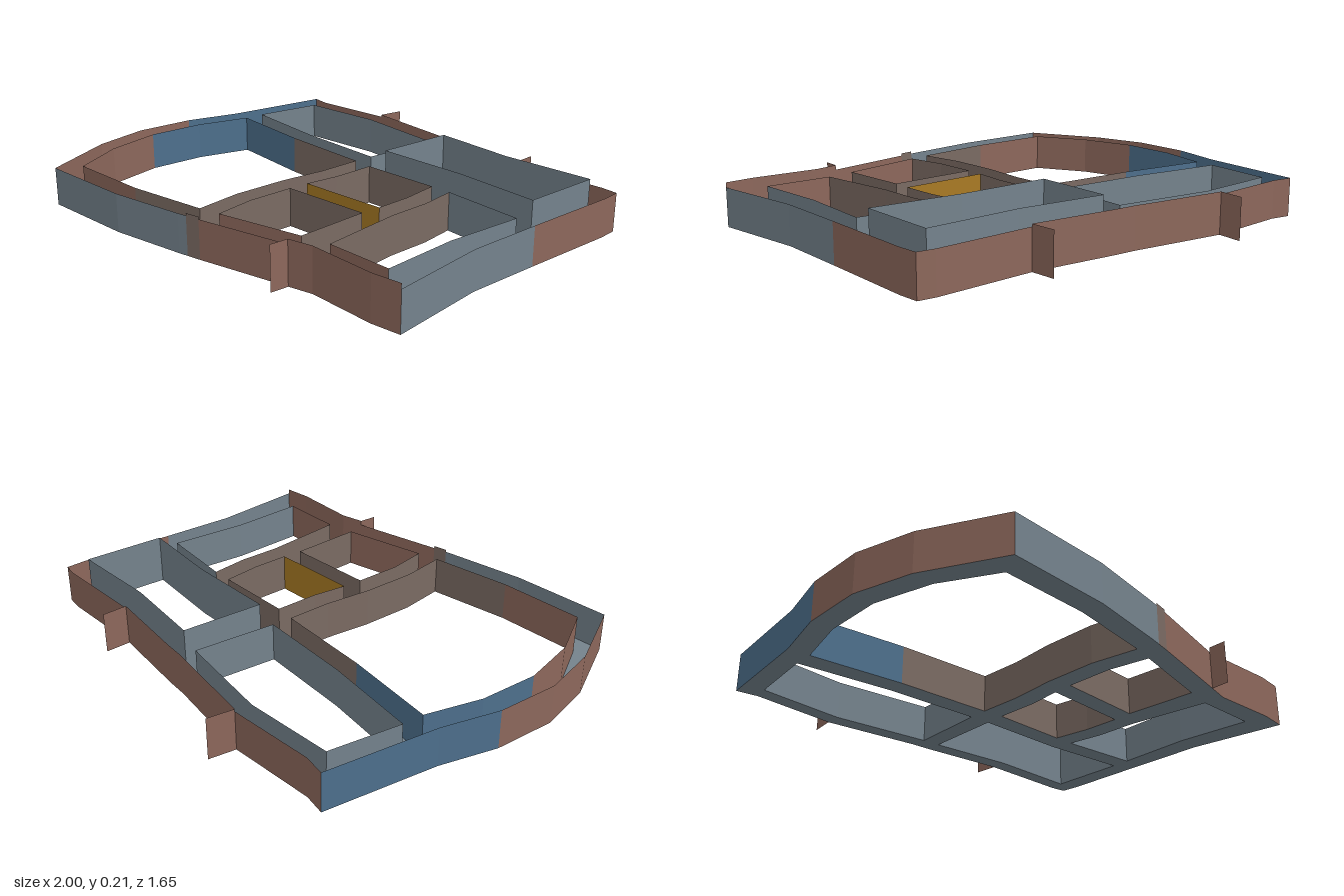
import * as THREE from 'three';

const makeMaterial = (name, color) => {
  const m = new THREE.MeshStandardMaterial({ color, side: THREE.DoubleSide });
  m.name = name;
  return m;
};

// Upright sheet following a ground path of [x, z] points
function wall(name, points, material, height = 0.16) {
  const v = [];
  for (let i = 0; i + 1 < points.length; i++) {
    const [ax, az] = points[i];
    const [bx, bz] = points[i + 1];
    v.push(ax, 0, az, bx, 0, bz, bx, height, bz);
    v.push(ax, 0, az, bx, height, bz, ax, height, az);
  }
  const g = new THREE.BufferGeometry();
  g.setAttribute('position', new THREE.Float32BufferAttribute(v, 3));
  g.computeVertexNormals();
  const mesh = new THREE.Mesh(g, material);
  mesh.name = name;
  return mesh;
}

export function createModel() {
  const model = new THREE.Group();
  model.name = 'streetBlocks';
  const slate = makeMaterial('slate', 0x74828c);
  const brown = makeMaterial('brickBrown', 0x8c675b);
  const blue = makeMaterial('steelBlue', 0x4d6f8c);
  const taupe = makeMaterial('taupe', 0x7a6a62);
  const ochre = makeMaterial('ochre', 0xa87a24);

  // Outer facades, in order around the edge: [name, path, material, height]
  const outer = [
    ['backWallRight', [[-0.91, -0.685], [-0.82, -0.675], [-0.46, -0.72]], brown],
    ['backWallMiddle', [[-0.46, -0.72], [-0.04, -0.69], [0.05, -0.69], [0.42, -0.675]], brown, 0.17],
    ['backWallLeft', [[0.42, -0.675], [0.83, -0.71], [0.9, -0.705]], brown],
    ['leftWallBack', [[0.9, -0.705], [0.91, -0.62], [0.92, -0.2]], brown],
    ['leftWallFront', [[0.92, -0.2], [0.93, 0.12], [1, 0.53]], slate],
    ['frontWallLeft', [[1, 0.53], [0.88, 0.55], [0.59, 0.555], [0.49, 0.583]], brown, 0.18],
    ['frontWallMiddle', [[0.49, 0.583], [0.1, 0.69]], brown],
    ['frontWallJoint', [[0.1, 0.69], [0.04, 0.705]], taupe, 0.17],
    ['frontWallRight', [[0.04, 0.705], [0, 0.715], [-0.33, 0.785], [-0.76, 0.825]], slate],
    ['rightWallFront', [[-0.76, 0.825], [-0.93, 0.52], [-1, 0.28], [-1, 0.02]], brown],
    ['rightWallBack', [[-1, 0.02], [-0.95, -0.22], [-0.91, -0.685]], blue],
  ];

  // Facades around each open block, each list forming a closed ring
  const blocks = {
    backRightBlock: [
      ['backWall', [[-0.83, -0.605], [-0.46, -0.65], [-0.03, -0.62]], slate],
      ['leftWall', [[-0.03, -0.62], [-0.04, -0.275]], slate],
      ['frontWall', [[-0.04, -0.275], [-0.45, -0.275], [-0.86, -0.305]], slate],
      ['rightWall', [[-0.86, -0.305], [-0.83, -0.605]], slate],
    ],
    backLeftBlock: [
      ['tallWalls', [[0.05, -0.62], [0.42, -0.605], [0.82, -0.64], [0.83, -0.29],
        [0.45, -0.3], [0.05, -0.275], [0.05, -0.62]], slate, 0.21],
    ],
    frontRightBlock: [
      ['backWallRight', [[-0.86, -0.215], [-0.46, -0.19]], blue],
      ['backWallLeft', [[-0.46, -0.19], [-0.04, -0.19]], taupe],
      ['leftWall', [[-0.04, -0.19], [-0.03, 0.0], [-0.04, 0.2], [-0.03, 0.43], [0.01, 0.625]], taupe],
      ['frontWallLeft', [[0.01, 0.625], [-0.34, 0.695]], taupe],
      ['frontWallRight', [[-0.34, 0.695], [-0.71, 0.725]], brown],
      ['rightWallFront', [[-0.71, 0.725], [-0.84, 0.51], [-0.91, 0.27]], brown],
      ['rightWallBack', [[-0.91, 0.27], [-0.91, 0.02], [-0.86, -0.215]], blue],
    ],
    centreBlock: [
      ['backWall', [[0.05, -0.185], [0.39, -0.21]], taupe],
      ['leftWall', [[0.39, -0.21], [0.42, -0.05], [0.43, 0.105]], taupe],
      ['frontWall', [[0.43, 0.105], [0.05, 0.145]], ochre],
      ['rightWall', [[0.05, 0.145], [0.06, 0.0], [0.05, -0.185]], taupe],
    ],
    frontCentreBlock: [
      ['backWall', [[0.05, 0.23], [0.43, 0.19]], taupe],
      ['leftWall', [[0.43, 0.19], [0.46, 0.5]], taupe],
      ['frontWall', [[0.46, 0.5], [0.1, 0.6]], brown],
      ['rightWall', [[0.1, 0.6], [0.06, 0.43], [0.05, 0.23]], taupe],
    ],
    frontLeftBlock: [
      ['backWall', [[0.48, -0.215], [0.83, -0.205]], slate],
      ['leftWall', [[0.83, -0.205], [0.825, 0.13], [0.86, 0.455]], slate],
      ['frontWall', [[0.86, 0.455], [0.58, 0.47]], brown],
      ['rightWall', [[0.58, 0.47], [0.52, 0.12], [0.51, -0.06], [0.48, -0.215]], taupe],
    ],
  };

  const addRing = (name, list) => {
    const group = new THREE.Group();
    group.name = name;
    list.forEach((w) => group.add(wall(...w)));
    model.add(group);
  };
  const ringPoints = (list) =>
    list.flatMap(([, path]) => path.slice(0, -1)).map(([x, z]) => new THREE.Vector2(x, -z));

  addRing('outerFacades', outer);
  for (const [name, list] of Object.entries(blocks)) addRing(name, list);

  // Short fins standing out from the facades
  addRing('facadeFins', [
    ['backFinRight', [[-0.46, -0.72], [-0.45, -0.83]], brown, 0.17],
    ['backFinLeft', [[0.42, -0.675], [0.41, -0.78]], brown, 0.17],
    ['frontFin', [[0.49, 0.583], [0.49, 0.66]], brown, 0.18],
  ]);

  // Street floor with the blocks cut out
  const shape = new THREE.Shape(ringPoints(outer));
  for (const list of Object.values(blocks)) shape.holes.push(new THREE.Path(ringPoints(list)));
  const street = new THREE.Mesh(new THREE.ShapeGeometry(shape).rotateX(-Math.PI / 2), slate);
  street.name = 'streetFloor';
  model.add(street);

  return model;
}
